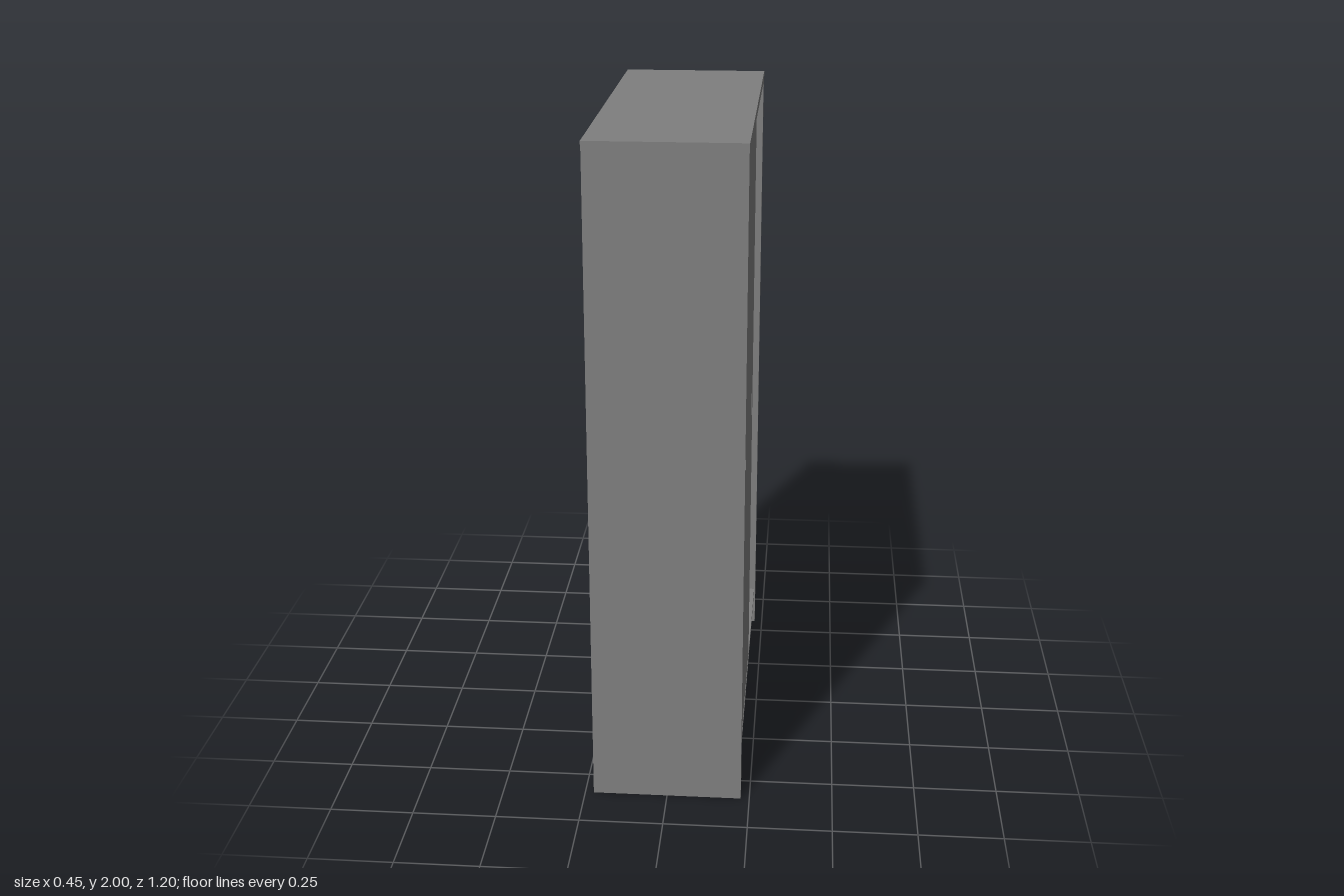
import * as THREE from 'three';

const material = new THREE.MeshStandardMaterial({ color: 0x7f7f7f });

// Box given by its min and max along each axis
function panel(name, [x0, x1], [y0, y1], [z0, z1]) {
  const mesh = new THREE.Mesh(new THREE.BoxGeometry(x1 - x0, y1 - y0, z1 - z0), material);
  mesh.position.set((x0 + x1) / 2, (y0 + y1) / 2, (z0 + z1) / 2);
  mesh.name = name;
  return mesh;
}

function rectangle(target, x0, y0, x1, y1) {
  target.moveTo(x0, y0);
  target.lineTo(x1, y0);
  target.lineTo(x1, y1);
  target.lineTo(x0, y1);
  target.closePath();
  return target;
}

// Sliding door with a recessed finger pull near each side edge
function slidingDoor(name, frontX, centerZ) {
  const door = new THREE.Group();
  door.name = name;
  const half = 0.286, bottom = 0.135, top = 1.968, thickness = 0.024, recess = 0.011;
  const shape = rectangle(new THREE.Shape(), -half, bottom, half, top);
  for (const side of [-1, 1]) {
    const c = side * (half - 0.054);
    shape.holes.push(rectangle(new THREE.Path(), c - 0.016, 1.0, c + 0.016, 1.1));
    door.add(panel('fingerPull', [-thickness, -recess], [1.0, 1.1], [c - 0.016, c + 0.016]));
  }
  const geometry = new THREE.ExtrudeGeometry(shape, { depth: thickness, bevelEnabled: false });
  geometry.rotateY(Math.PI / 2).translate(-thickness, 0, 0);
  const leaf = new THREE.Mesh(geometry, material);
  leaf.name = 'doorLeaf';
  door.add(leaf);
  door.position.set(frontX, 0, centerZ);
  return door;
}

export function createModel() {
  const cabinet = new THREE.Group();
  cabinet.name = 'slidingDoorCabinet';
  const depth = 0.225, width = 0.6, inner = 0.571;
  const front = depth - 0.001, outer = width - 0.001;
  const span = [-inner, inner];

  // Carcass, with the open side towards +x; the top overhangs by a hair
  cabinet.add(panel('topPanel', [-depth, depth], [1.973, 2], [-width, width]));
  cabinet.add(panel('leftSide', [-front, front], [0, 1.973], [inner, outer]));
  cabinet.add(panel('rightSide', [-front, front], [0, 1.973], [-outer, -inner]));
  cabinet.add(panel('backPanel', [-front, -0.21], [0, 1.973], span));
  cabinet.add(panel('bottomPanel', [-0.21, 0.22], [0.115, 0.131], span));
  cabinet.add(panel('plinth', [0.185, 0.205], [0, 0.115], span));

  // Shelves end behind the doors
  for (let i = 0; i < 4; i++) {
    const y = 0.494 + i * 0.38;
    cabinet.add(panel('shelf', [-0.21, 0.148], [y, y + 0.017], span));
  }

  // Doors on two parallel tracks
  cabinet.add(slidingDoor('frontDoor', 0.219, 0.202));
  cabinet.add(slidingDoor('rearDoor', 0.178, -0.037));
  return cabinet;
}
